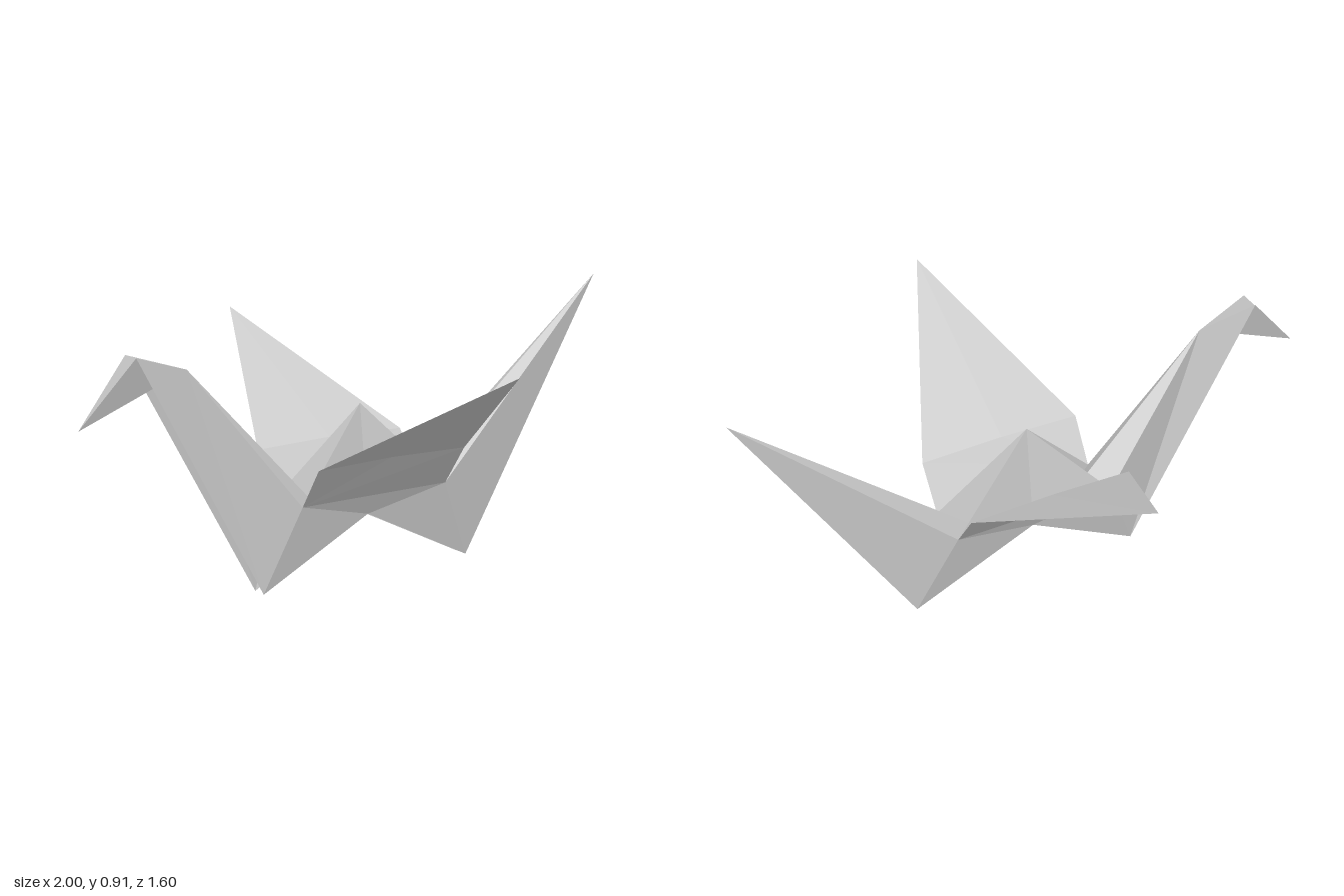
import * as THREE from 'three';

// Fold points of one half of the sheet (z >= 0); the other half is mirrored
const P = {
  peak: [0.01, 0.57, 0],
  belly: [0.01, 0.21, 0.045],
  neckValley: [-0.11, 0.2, 0],
  tailValley: [0.13, 0.19, 0],
  neckFoot: [-0.38, 0, 0.025],
  tailFoot: [0.43, 0, 0.025],
  neckHip: [-0.265, 0.28, 0.078],
  tailHip: [0.3, 0.28, 0.078],
  nape: [-0.63, 0.75, 0],
  crown: [-0.82, 0.81, 0.034],
  beakTip: [-1, 0.605, 0],
  tailTip: [1, 0.91, 0],
  wingFoldA: [-0.27, 0.418, 0.177],
  wingFoldMid: [0.01, 0.425, 0.177],
  wingFoldB: [0.3, 0.418, 0.177],
  wingTip: [0.01, 0.78, 0.8],
};

// Triangular paper facets per part, counter-clockwise from outside or above
const PARTS = {
  neck: ['neckFoot neckHip nape', 'neckFoot nape crown', 'neckValley nape neckHip'],
  head: ['nape beakTip crown'],
  tail: ['tailFoot tailTip tailHip', 'tailTip tailValley tailHip'],
  body: ['neckFoot belly neckHip', 'tailFoot tailHip belly', 'belly tailHip neckHip'],
  hump: ['peak neckValley neckHip', 'peak tailHip tailValley', 'peak neckHip belly', 'peak belly tailHip'],
  wing: [
    'neckHip tailHip wingFoldB', 'neckHip wingFoldB wingFoldMid', 'neckHip wingFoldMid wingFoldA',
    'wingFoldA wingFoldMid wingTip', 'wingFoldMid wingFoldB wingTip',
  ],
};

// Build the facets of one part on one side
function fold(facets, side) {
  const positions = [];
  for (const facet of facets) {
    const names = facet.split(' ');
    if (side < 0) names.reverse();
    for (const n of names) positions.push(P[n][0], P[n][1], P[n][2] * side);
  }
  const geometry = new THREE.BufferGeometry();
  geometry.setAttribute('position', new THREE.Float32BufferAttribute(positions, 3));
  geometry.computeVertexNormals();
  return geometry;
}

export function createModel() {
  const paper = new THREE.MeshStandardMaterial({
    color: 0xcccccc, flatShading: true, side: THREE.DoubleSide,
  });
  const model = new THREE.Group();
  model.name = 'paperCrane';
  for (const [name, facets] of Object.entries(PARTS)) {
    const part = new THREE.Group();
    part.name = name;
    for (const side of [1, -1]) {
      const mesh = new THREE.Mesh(fold(facets, side), paper);
      mesh.name = name + (side > 0 ? 'Front' : 'Back');
      part.add(mesh);
    }
    model.add(part);
  }
  return model;
}
